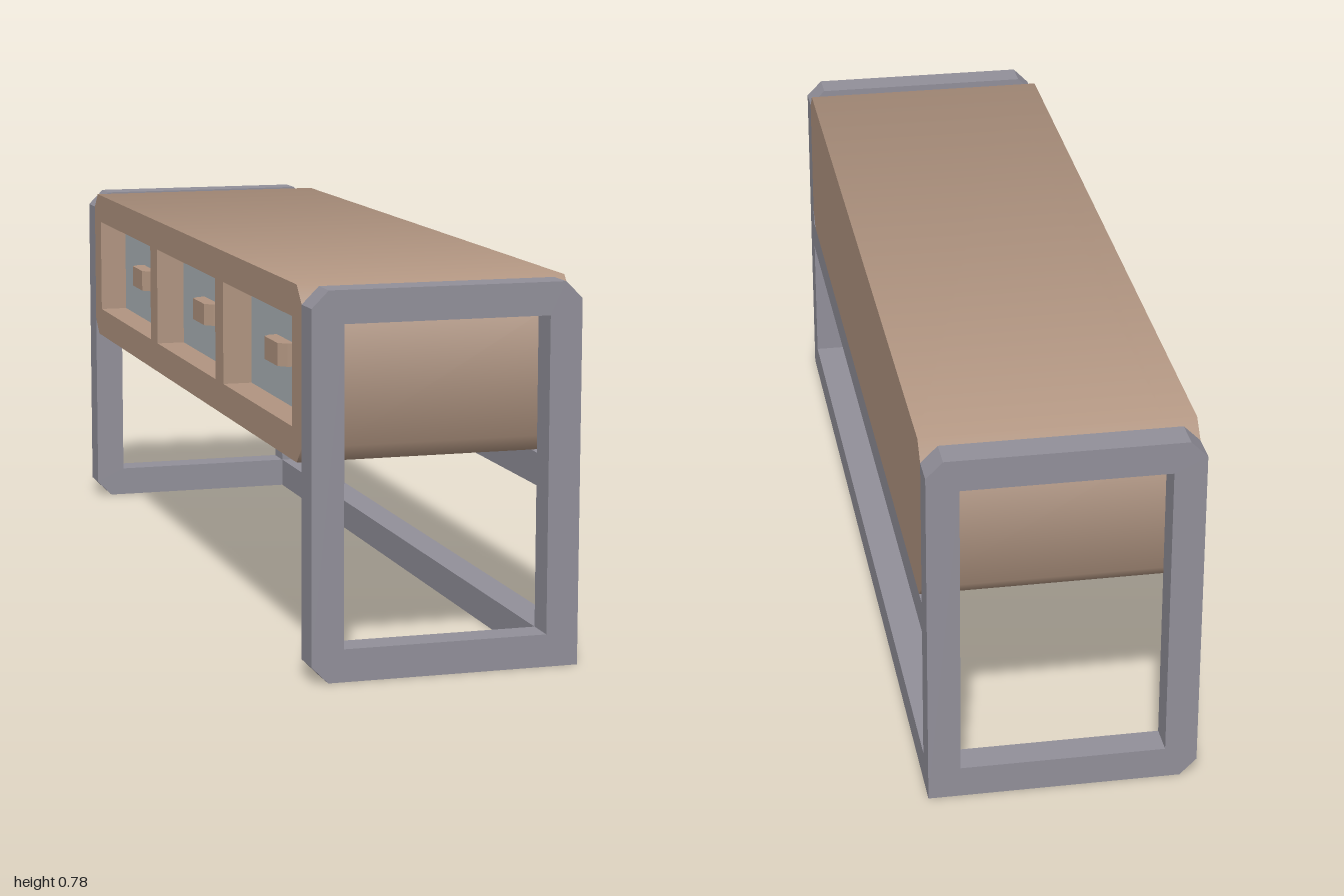
import * as THREE from 'three';

const W = 0.28;            // half width (x)
const H = 0.782;           // overall height
const T = 0.067;           // bar and wall thickness
const C = 0.035;           // corner chamfer
const END = 1 - T;         // half length between the end frames
const BODY_BOTTOM = 0.427;

const wood = new THREE.MeshStandardMaterial({ name: 'warm wood', color: 0xb09480 });
const metal = new THREE.MeshStandardMaterial({ name: 'grey metal', color: 0x918f99 });
const panel = new THREE.MeshStandardMaterial({ name: 'pale grey panel', color: 0xacb4b7 });

const outline = (pts) => new THREE.Shape(pts.map(([x, y]) => new THREE.Vector2(x, y)));
const rectHole = (x0, x1, y0, y1) =>
  new THREE.Path([[x0, y0], [x0, y1], [x1, y1], [x1, y0]].map(([x, y]) => new THREE.Vector2(x, y)));
const extrude = (shape, depth) => new THREE.ExtrudeGeometry(shape, { depth, bevelEnabled: false });

function add(parent, name, geometry, material, x = 0, y = 0, z = 0) {
  const mesh = new THREE.Mesh(geometry, material);
  mesh.name = name;
  mesh.position.set(x, y, z);
  parent.add(mesh);
  return mesh;
}

// Chamfered side profile of the cabinet, in (z, y)
function bodyShape() {
  const b = BODY_BOTTOM;
  return outline([
    [-END + C, b], [END - C, b], [END, b + C], [END, H - C],
    [END - C, H], [-END + C, H], [-END, H - C], [-END, b + C],
  ]);
}

// Turn a profile to run along x, and soften the shading around its outer edges
function bodySection(shape, depth) {
  const g = extrude(shape, depth).rotateY(Math.PI / 2);
  const p = g.attributes.position, n = g.attributes.normal;
  const big = Math.cos(Math.PI / 8), small = Math.sin(Math.PI / 8);
  const mid = (BODY_BOTTOM + H) / 2;
  for (let i = 0; i < p.count; i++) {
    const z = p.getZ(i), y = p.getY(i);
    if (Math.abs(n.getX(i)) > 0.5 || Math.abs(z) < END - C - 0.01) continue;
    const onEnd = Math.abs(z) > END - C / 2;
    n.setXYZ(i, 0, Math.sign(y - mid) * (onEnd ? small : big), Math.sign(z) * (onEnd ? big : small));
  }
  return g;
}

export function createModel() {
  const model = new THREE.Group();
  model.name = 'drawerBench';

  // End frames: square at the lower left corner, where the floor rail joins
  const frame = outline([
    [-W + C, 0], [W, 0], [W, H - C], [W - C, H], [-W + C, H], [-W, H - C], [-W, C],
  ]);
  frame.holes.push(rectHole(-W + T, W - T, T, H - T));
  const frameGeo = extrude(frame, T);
  add(model, 'frontFrame', frameGeo, metal, 0, 0, END);
  add(model, 'backFrame', frameGeo, metal, 0, 0, -1);

  // Long rails on one side only
  const railGeo = new THREE.BoxGeometry(T, T, 2 * END);
  add(model, 'floorRail', railGeo, metal, W - T / 2, T / 2, 0);
  add(model, 'supportRail', railGeo, metal, W - T / 2, BODY_BOTTOM - T / 2, 0);

  // Cabinet: solid core, plus a front with three drawer openings
  const open = (2 * END - 4 * T) / 3;
  const y0 = BODY_BOTTOM + T, y1 = H - T, yMid = (y0 + y1) / 2;
  const centres = [-1, 0, 1].map((i) => i * (open + T));
  const front = bodyShape();
  for (const c of centres) front.holes.push(rectHole(c - open / 2, c + open / 2, y0, y1));
  add(model, 'cabinetCore', bodySection(bodyShape(), 2 * W - T), wood, -W + T);
  add(model, 'cabinetFront', bodySection(front, T), wood, -W);

  // Drawers: recessed plate and a pull with cut corners
  const L = 0.133, P = 0.033, K = 0.017, pullHeight = 0.048;
  const pullGeo = extrude(outline([
    [-L / 2, 0], [L / 2, 0], [L / 2, P - K], [L / 2 - K, P], [-L / 2 + K, P], [-L / 2, P - K],
  ]), pullHeight);
  pullGeo.applyMatrix4(new THREE.Matrix4().makeBasis(
    new THREE.Vector3(0, 0, -1), new THREE.Vector3(-1, 0, 0), new THREE.Vector3(0, 1, 0)));
  const plateGeo = new THREE.BoxGeometry(0.004, y1 - y0, open);
  for (const c of centres) {
    const drawer = new THREE.Group();
    drawer.name = 'drawer';
    drawer.position.set(-W + T, yMid, c);
    add(drawer, 'drawerFront', plateGeo, panel, -0.002);
    add(drawer, 'drawerPull', pullGeo, wood, -0.003, -pullHeight / 2, 0);
    model.add(drawer);
  }
  return model;
}
